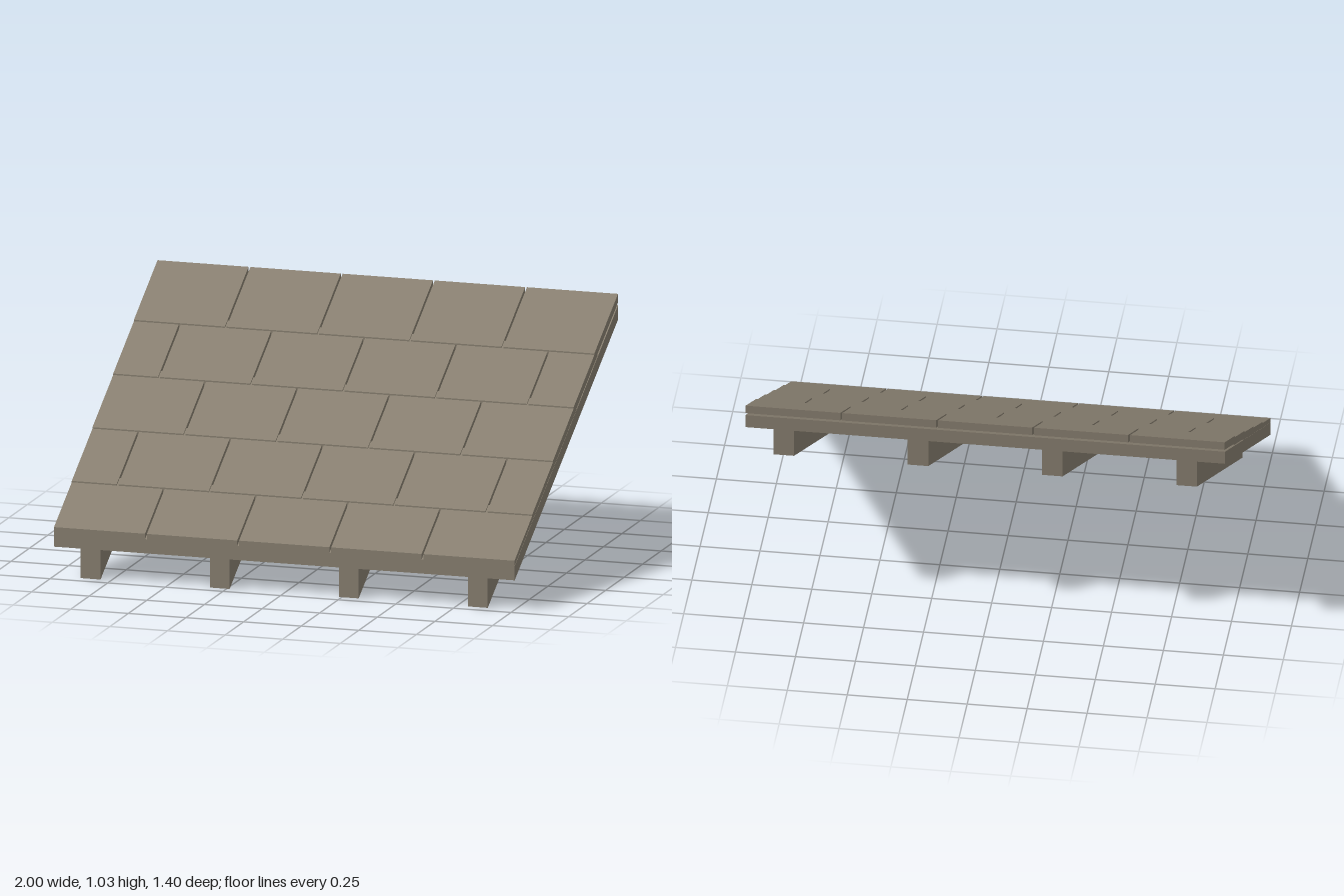
import * as THREE from 'three';

const SLOPE = 0.569; // rise per unit towards the back

// Sheared box: plumb-cut ends; y0 and y1 are the heights at z = 0
function slopedBox(name, material, x0, x1, y0, y1, zBack, zFront) {
  const geometry = new THREE.BoxGeometry(x1 - x0, y1 - y0, zFront - zBack);
  geometry.translate((x0 + x1) / 2, (y0 + y1) / 2, (zBack + zFront) / 2);
  const p = geometry.attributes.position;
  for (let i = 0; i < p.count; i++) p.setY(i, p.getY(i) - p.getZ(i) * SLOPE);
  const flat = geometry.toNonIndexed();
  flat.computeVertexNormals();
  const mesh = new THREE.Mesh(flat, material);
  mesh.name = name;
  return mesh;
}

export function createModel() {
  const roof = new THREE.Group();
  roof.name = 'roofSection';
  const wood = new THREE.MeshStandardMaterial({ color: 0x8a8172 });
  wood.name = 'weatheredWood';

  const mid = 0.7 * SLOPE; // lifts heights given at the front eave to z = 0

  // Rafters
  for (const x of [-0.84, -0.28, 0.28, 0.84]) {
    roof.add(slopedBox('rafter', wood, x - 0.043, x + 0.043, mid, mid + 0.125, -0.7, 0.7));
  }

  // Deck boards
  roof.add(slopedBox('deck', wood, -1, 1, mid + 0.125, mid + 0.185, -0.7, 0.7));

  // Overlapping shingle courses with staggered joints, each a little higher
  const gap = 0.004;
  for (let row = 0; row < 5; row++) {
    const course = new THREE.Group();
    course.name = 'shingleCourse';
    const zFront = 0.7 - row * 0.28 + (row ? 0.04 : 0);
    const zBack = 0.42 - row * 0.28;
    const top = mid + 0.208 + row * 0.006;
    const joints = row % 2 ? [-1, -0.8, -0.4, 0, 0.4, 0.8, 1] : [-1, -0.6, -0.2, 0.2, 0.6, 1];
    for (let i = 0; i + 1 < joints.length; i++) {
      const x0 = joints[i] + (i ? gap : 0.001);
      const x1 = joints[i + 1] - (i + 2 < joints.length ? gap : 0.001);
      course.add(slopedBox('shingle', wood, x0, x1, top - 0.037, top, zBack, zFront));
    }
    roof.add(course);
  }
  return roof;
}
